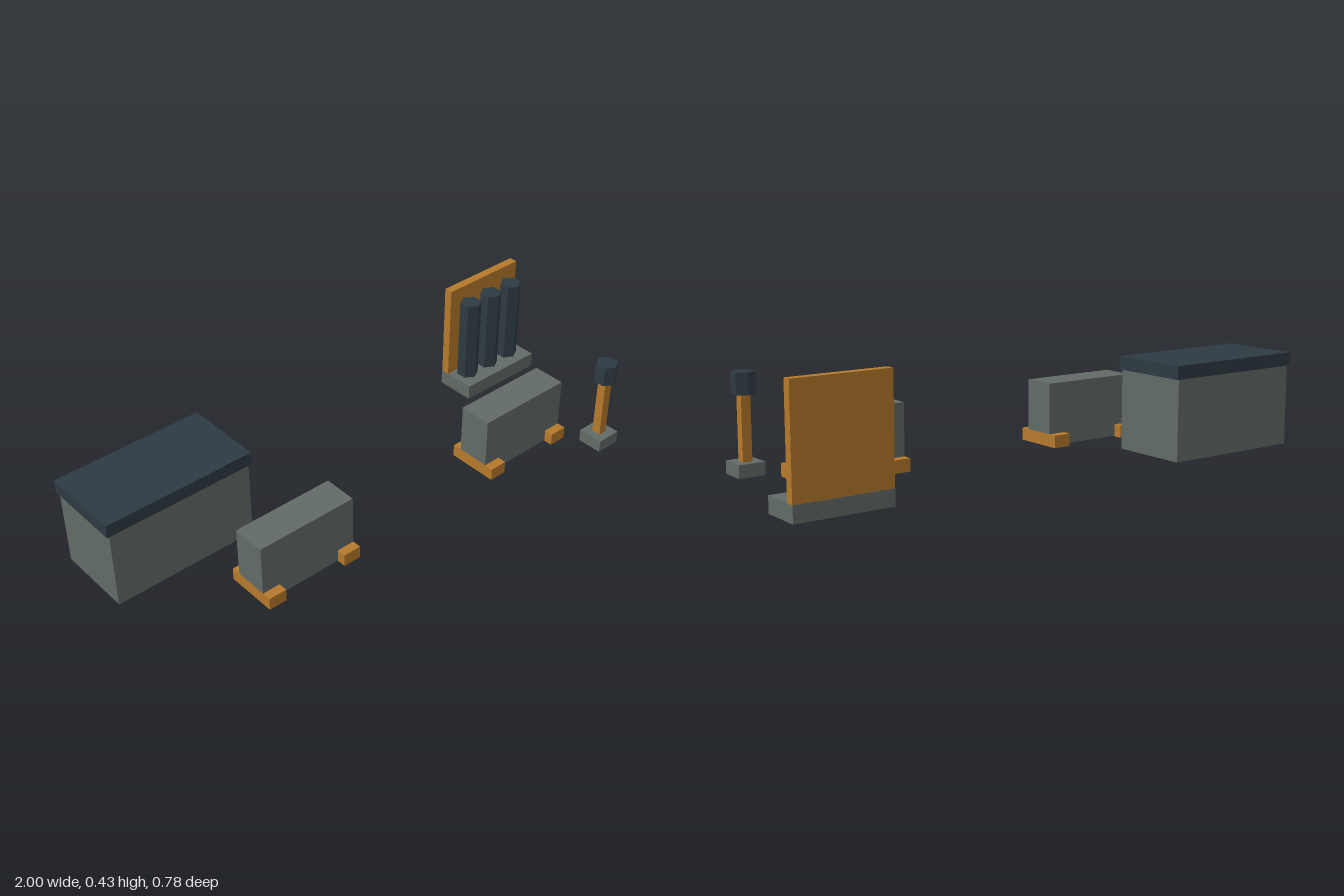
import * as THREE from 'three';

export function createModel() {
  const root = new THREE.Group();
  const mat = (name, color) => {
    const m = new THREE.MeshStandardMaterial({ color });
    m.name = name;
    return m;
  };
  const stone = mat('grey stone', 0x626b67);
  const dark = mat('dark slate', 0x2d3a42);
  const wood = mat('ochre wood', 0xb5792c);
  dark.flatShading = true;

  const group = (name, x = 0, z = 0) => {
    const g = new THREE.Group();
    g.name = name;
    g.position.set(x, 0, z);
    root.add(g);
    return g;
  };
  // box standing on height y
  const box = (parent, name, material, w, h, d, x, y, z) => {
    const m = new THREE.Mesh(new THREE.BoxGeometry(w, h, d), material);
    m.name = name;
    m.position.set(x, y + h / 2, z);
    parent.add(m);
  };
  // six-sided drum standing on height y
  const hex = (parent, name, r, h, x, y, z) => {
    const m = new THREE.Mesh(new THREE.CylinderGeometry(r, r, h, 6), dark);
    m.name = name;
    m.position.set(x, y + h / 2, z);
    parent.add(m);
  };

  // storage crate with an overhanging lid
  const crate = group('crate', -0.72, -0.24);
  box(crate, 'crateBody', stone, 0.54, 0.29, 0.29, 0, 0, 0);
  box(crate, 'crateLid', dark, 0.56, 0.048, 0.3, 0, 0.29, 0);

  // two barriers on cross feet
  for (const x of [-0.451, 0.552]) {
    const barrier = group('barrier', x, 0.148);
    box(barrier, 'barrierBody', stone, 0.38, 0.23, 0.125, 0, 0.002, 0);
    for (const s of [-1, 1]) box(barrier, 'barrierFoot', wood, 0.068, 0.046, 0.193, s * 0.157, 0, 0);
  }

  // canister rack: base, back board, three canisters
  const rack = group('canisterRack', 0.826, -0.24);
  box(rack, 'rackBase', stone, 0.348, 0.057, 0.151, 0, 0, 0);
  box(rack, 'rackBoard', wood, 0.348, 0.368, 0.032, 0, 0.057, -0.058);
  for (const i of [-1, 0, 1]) hex(rack, 'canister', 0.041, 0.319, i * 0.107 - 0.003, 0.057, 0);

  // lamp post
  const lamp = group('lampPost', 0.823, 0.342);
  box(lamp, 'lampBase', stone, 0.096, 0.046, 0.096, 0, 0, 0);
  box(lamp, 'lampPole', wood, 0.034, 0.228, 0.034, 0, 0.046, 0);
  hex(lamp, 'lampHead', 0.041, 0.075, 0, 0.273, 0);

  return root;
}
